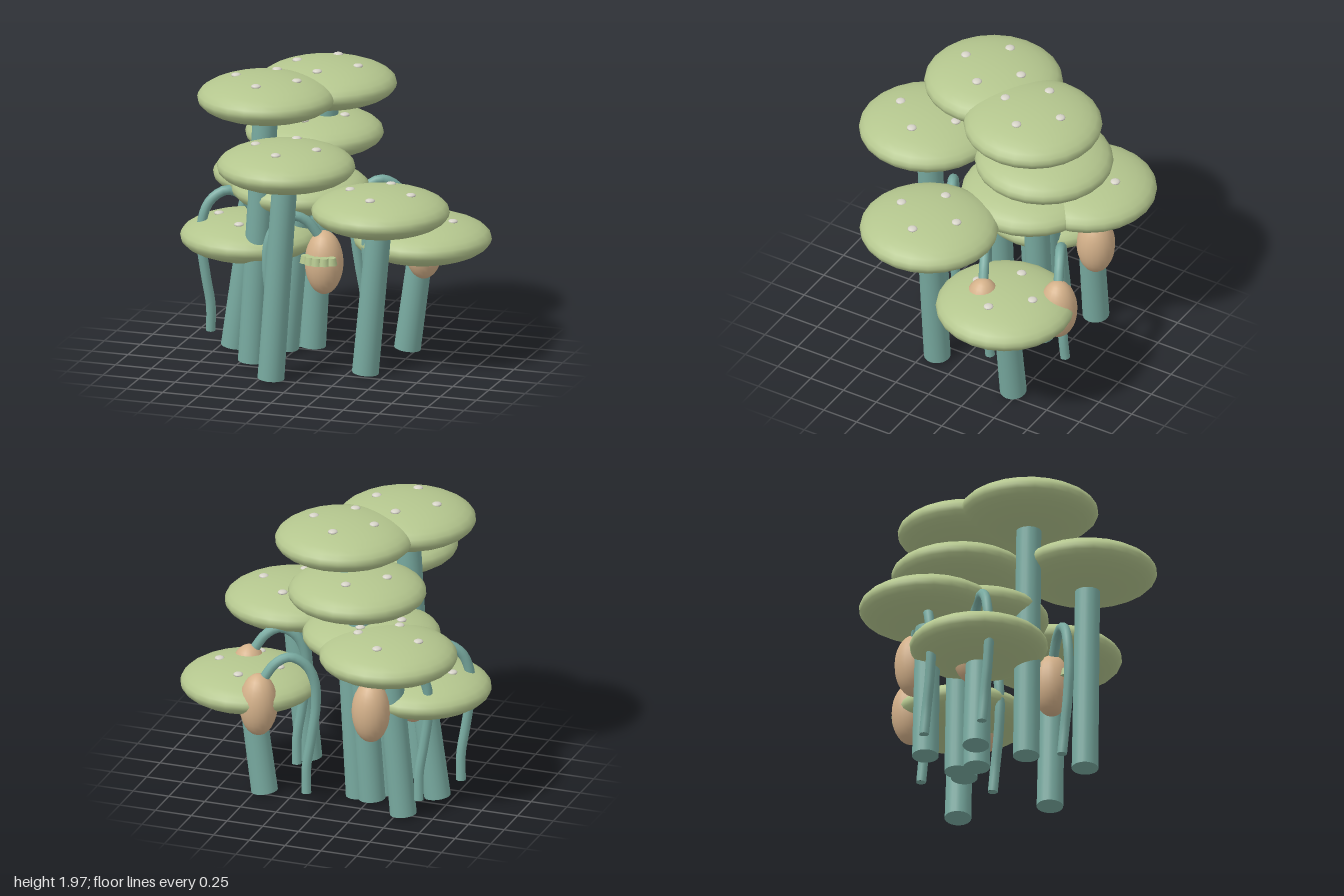
import * as THREE from 'three';

const material = (name, color) => {
  const m = new THREE.MeshStandardMaterial({ color });
  m.name = name;
  return m;
};

const CAP_R = 0.455, CAP_H = 0.146;

// Cap centres: x, y, z
const MUSHROOMS = [
  [-0.325, 1.82, 0.15], [-0.06, 1.82, -0.31],
  [-0.16, 1.47, -0.335], [-0.07, 1.47, 0.495],
  [0.47, 1.12, 0.165], [-0.44, 1.12, -0.5], [-0.21, 1.12, -0.2],
  [0.545, 0.775, -0.46], [-0.545, 0.775, -0.145],
];

// Hanging pod centres: x, z
const PODS = [[0.1, 0.225], [0.6, -0.325], [0.37, -0.76], [-0.5, -0.2], [-0.36, -0.61]];

export function createModel() {
  const model = new THREE.Group();
  model.name = 'mushroomGrove';
  const green = material('cap green', 0xb4c68e);
  const teal = material('stem teal', 0x78aaa0);
  const tan = material('pod tan', 0xd4b18a);
  const pale = material('spot grey', 0xd6d3c8);

  const add = (parent, name, geometry, mat, x = 0, y = 0, z = 0) => {
    const mesh = new THREE.Mesh(geometry, mat);
    mesh.name = name;
    mesh.position.set(x, y, z);
    parent.add(mesh);
    return mesh;
  };

  // Shared shapes
  const capGeo = new THREE.SphereGeometry(CAP_R, 24, 16).scale(1, CAP_H / CAP_R, 1);
  const spotGeo = new THREE.SphereGeometry(0.033, 12, 8).scale(1, 0.45, 1);
  const podGeo = new THREE.SphereGeometry(0.127, 20, 16).scale(1, 0.215 / 0.127, 1);
  const lobeGeo = new THREE.CylinderGeometry(0.03, 0.04, 0.05, 12);

  // Mushrooms: a leaning stem, a flattened cap and four spots
  for (const [x, y, z] of MUSHROOMS) {
    const mushroom = new THREE.Group();
    mushroom.name = 'mushroom';
    model.add(mushroom);

    const base = new THREE.Vector3(x - 0.105, 0.012, z);
    const axis = new THREE.Vector3(x, y, z).sub(base);
    const stem = add(mushroom, 'stem', new THREE.CylinderGeometry(0.082, 0.088, axis.length(), 20), teal);
    stem.position.copy(base).addScaledVector(axis, 0.5);
    stem.quaternion.setFromUnitVectors(new THREE.Vector3(0, 1, 0), axis.normalize());

    add(mushroom, 'cap', capGeo, green, x, y, z);
    const r = 0.21;
    const rise = CAP_H * Math.sqrt(1 - (r / CAP_R) ** 2);
    for (let i = 0; i < 4; i++) {
      const a = i * Math.PI / 2;
      add(mushroom, 'capSpot', spotGeo, pale, x + r * Math.cos(a), y + rise, z + r * Math.sin(a));
    }
  }

  // Hooked vine, relative to its foot in x and z
  const vinePath = new THREE.CatmullRomCurve3([
    [0, 0.12, 0], [0.005, 0.3, 0.015], [-0.02, 0.5, 0.04], [-0.045, 0.72, 0.055],
    [-0.04, 0.9, 0.045], [0.01, 1.02, 0.02], [0.105, 1.08, -0.025],
    [0.19, 1.04, -0.07], [0.27, 0.92, -0.11],
  ].map((p) => new THREE.Vector3(...p)));
  const vineGeo = new THREE.TubeGeometry(vinePath, 32, 0.033, 10);
  const endGeo = new THREE.CircleGeometry(0.033, 10).rotateX(Math.PI / 2);

  for (const [x, z] of PODS) {
    const hanging = new THREE.Group();
    hanging.name = 'hangingPod';
    model.add(hanging);
    add(hanging, 'vine', vineGeo, teal, x - 0.29, 0, z + 0.12);
    add(hanging, 'vineFoot', endGeo, teal, x - 0.29, 0.12, z + 0.12);
    add(hanging, 'pod', podGeo, tan, x, 0.755, z);
  }

  // Small lobed shelf on the front pod
  const [px, pz] = PODS[0];
  for (let i = -2; i <= 2; i++) {
    const a = i * 0.36;
    add(model, 'shelfLobe', lobeGeo, green, px + 0.135 * Math.sin(a), 0.8, pz + 0.15 * Math.cos(a));
  }
  return model;
}
